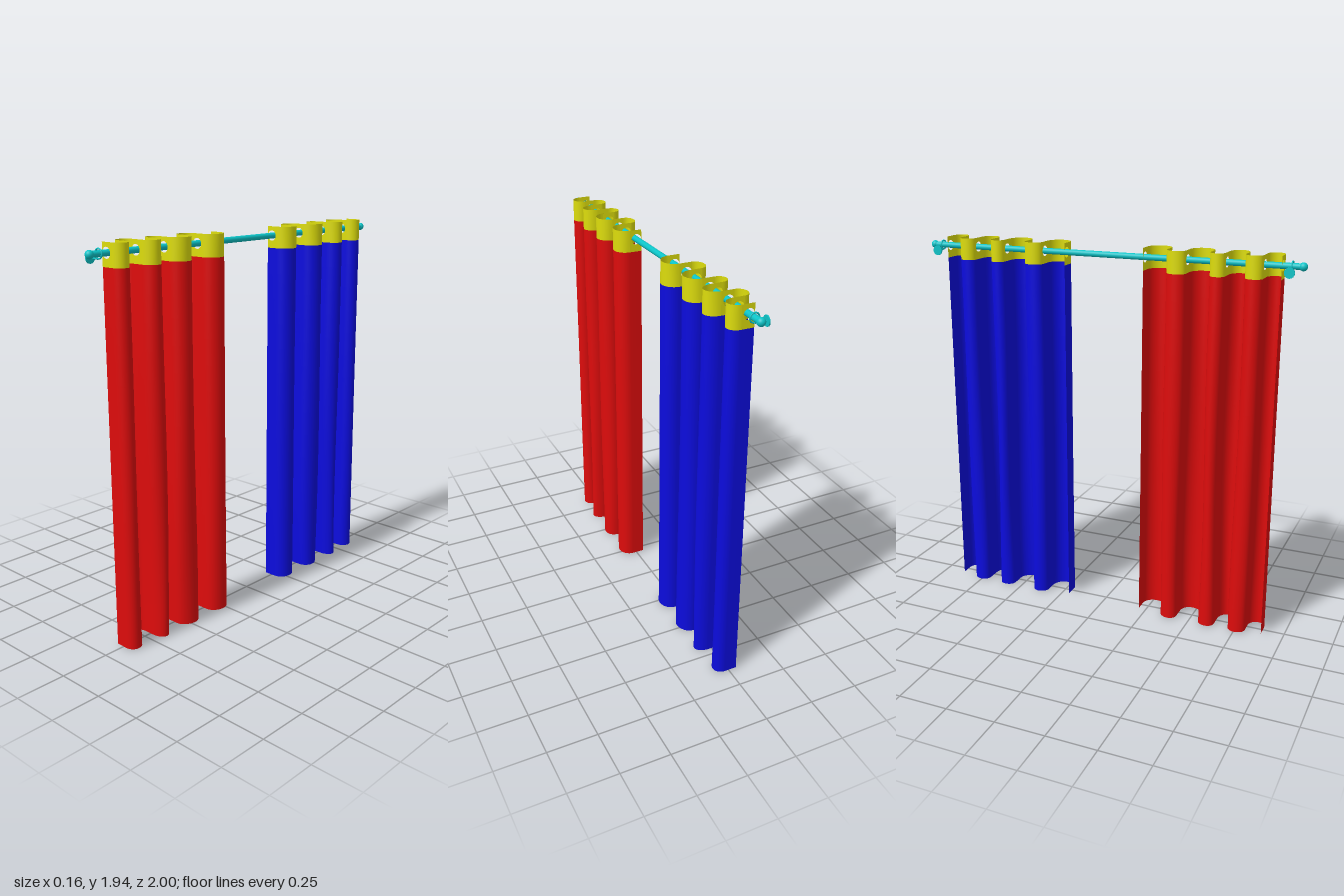
import * as THREE from 'three';

const ROD_X = -0.015, ROD_Y = 1.893;
const TOP = 1.94, SEAM = 1.83;
const XL = -0.042, XR = 0.02; // straight walls run between these x values
const WALLS = [0.21, 0.332, 0.428, 0.548, 0.622, 0.718, 0.803, 0.887]; // z of each wall

const cloth = (color) => new THREE.MeshStandardMaterial({ color, side: THREE.DoubleSide });

function add(parent, name, geometry, material, x = 0, y = 0, z = 0) {
  const mesh = new THREE.Mesh(geometry, material);
  mesh.name = name;
  mesh.position.set(x, y, z);
  parent.add(mesh);
  return mesh;
}

// Rounded fold between wall i and the next one, as [x, z] points
function foldArc(i, steps = 16) {
  const a = WALLS[i], b = WALLS[i + 1], front = i % 2 === 0;
  const x0 = front ? XR : XL;
  const apex = front ? (i === 6 ? 0.067 : 0.08) : -0.08;
  const pts = [];
  for (let k = 0; k <= steps; k++) {
    const t = (k / steps) * Math.PI;
    pts.push([x0 + (apex - x0) * Math.sin(t), (a + b) / 2 - ((b - a) / 2) * Math.cos(t)]);
  }
  return pts;
}

// Vertical sheet over a plan path; sway shifts the folds gently lower down
function sheet(path, y0, y1, rows, side, sway) {
  const pos = [], index = [], n = path.length;
  for (let r = 0; r <= rows; r++) {
    const y = y0 + ((y1 - y0) * r) / rows;
    path.forEach(([x, z], i) => {
      const edge = Math.sin((Math.PI * i) / (n - 1));
      const dz = sway * edge * Math.sin(z * 23 + y * 2.5) * (1 - y / y1);
      pos.push(x, y, side * (z + dz));
    });
  }
  for (let r = 0; r < rows; r++) {
    for (let i = 0; i < n - 1; i++) {
      const a = r * n + i, b = a + 1, c = a + n, d = c + 1;
      if (side > 0) index.push(a, c, b, b, c, d);
      else index.push(a, b, c, b, d, c);
    }
  }
  const g = new THREE.BufferGeometry();
  g.setAttribute('position', new THREE.Float32BufferAttribute(pos, 3));
  g.setIndex(index);
  g.computeVertexNormals();
  return g;
}

// Flat header wall with a round opening for the rod
function headerWall() {
  const s = new THREE.Shape();
  s.moveTo(XL, SEAM);
  s.lineTo(XR, SEAM);
  s.lineTo(XR, TOP);
  s.lineTo(XL, TOP);
  s.closePath();
  const hole = new THREE.Path();
  hole.absarc(ROD_X, ROD_Y, 0.026, 0, Math.PI * 2, true);
  s.holes.push(hole);
  return new THREE.ShapeGeometry(s, 20);
}

function curtain(name, side, color) {
  const group = new THREE.Group();
  group.name = name;
  const yellow = cloth(0xdddd0c);

  // Hanging cloth: one continuous pleated sheet
  const path = [[XL, WALLS[0]], [-0.01, WALLS[0]]];
  for (let i = 0; i < WALLS.length - 1; i++) {
    path.push(...foldArc(i));
    path.push([(XL + XR) / 2, WALLS[i + 1]]);
  }
  path.push([XL, WALLS[WALLS.length - 1]]);
  add(group, 'drape', sheet(path, 0, SEAM, 14, side, 0.012), cloth(color));

  // Header band: rounded folds joined by pierced walls
  const wall = headerWall();
  WALLS.forEach((z, i) => {
    add(group, 'headerWall', wall, yellow, 0, 0, side * z);
    if (i < WALLS.length - 1) add(group, 'headerFold', sheet(foldArc(i), SEAM, TOP, 1, side, 0), yellow);
  });
  return group;
}

export function createModel() {
  const model = new THREE.Group();
  model.name = 'curtains';
  const teal = new THREE.MeshStandardMaterial({ color: 0x0cc4c8 });

  // Rod
  const rod = add(model, 'rod', new THREE.CylinderGeometry(0.015, 0.015, 1.95, 24), teal, ROD_X, ROD_Y, 0);
  rod.rotation.x = Math.PI / 2;

  for (const side of [1, -1]) {
    // Rounded rod end
    add(model, 'finial', new THREE.SphereGeometry(0.02, 24, 16), teal, ROD_X, ROD_Y, side * 0.98);

    // Wall bracket: round plate, arm and ring around the rod
    const bracket = new THREE.Group();
    bracket.name = 'bracket';
    bracket.position.z = side * 0.93;
    const plate = add(bracket, 'wallPlate', new THREE.CylinderGeometry(0.025, 0.025, 0.006, 24), teal, -0.073, 1.87, 0);
    plate.rotation.z = Math.PI / 2;
    const arm = add(bracket, 'arm', new THREE.CylinderGeometry(0.004, 0.004, 0.055, 12), teal, -0.046, 1.87, 0);
    arm.rotation.z = Math.PI / 2;
    add(bracket, 'ring', new THREE.TorusGeometry(0.022, 0.004, 8, 28), teal, ROD_X, ROD_Y, 0);
    model.add(bracket);
  }

  // Two mirrored curtains along the rod
  model.add(curtain('frontCurtain', 1, 0xdd0c0c));
  model.add(curtain('backCurtain', -1, 0x0c0cdd));
  return model;
}
